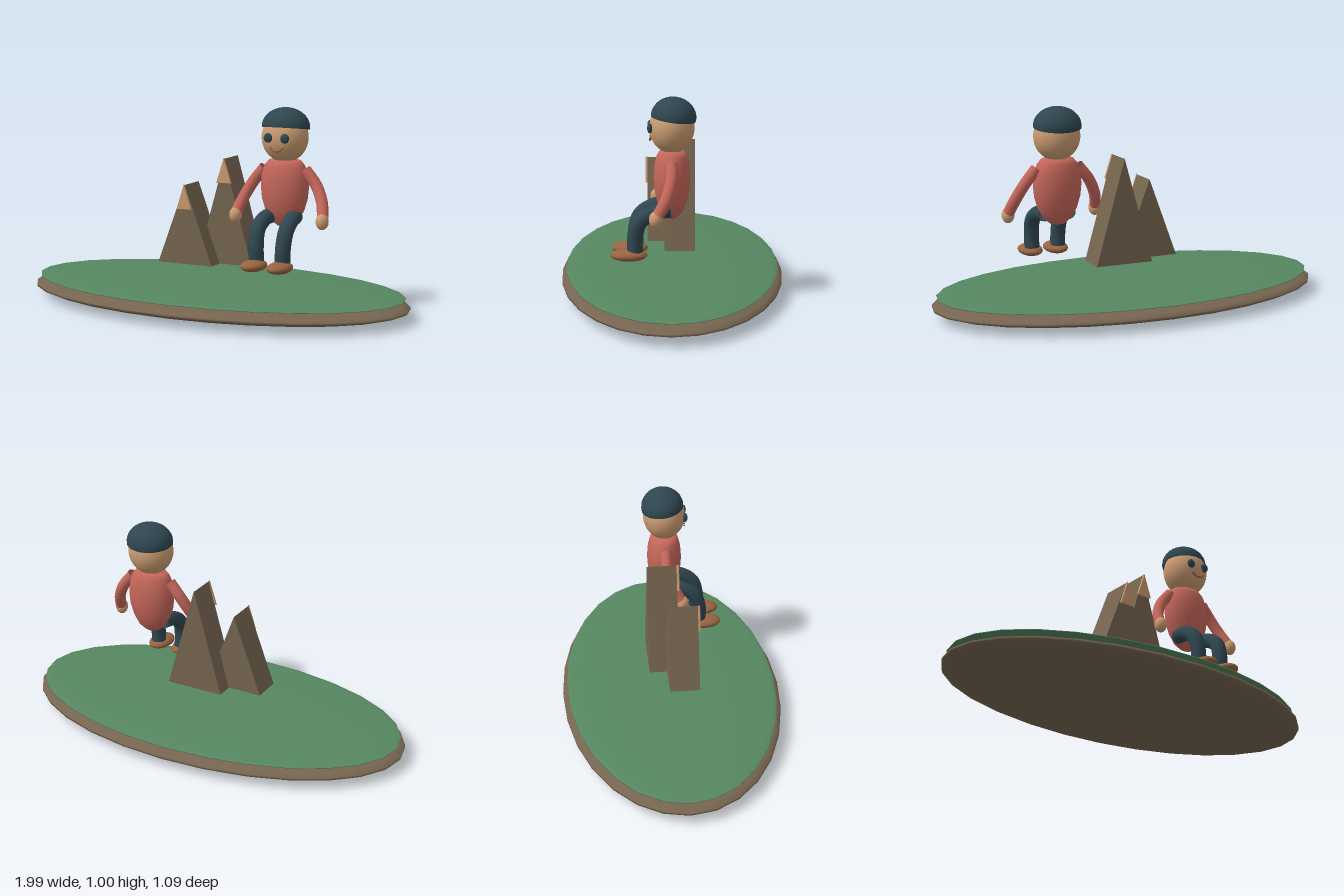
import * as THREE from 'three';

const paint = (name, color) => {
  const m = new THREE.MeshStandardMaterial({ color });
  m.name = name;
  return m;
};

export function createModel() {
  const model = new THREE.Group();
  model.name = 'seatedFigureOnIsland';

  const stone = paint('stone', 0x766550);
  const grass = paint('grass', 0x568761);
  const skin = paint('skin', 0xcb9c72);
  const shirt = paint('shirt', 0xc4665a);
  const navy = paint('darkTeal', 0x2f4650);
  const leather = paint('brownLeather', 0x996340);
  for (const m of [shirt, navy]) m.side = THREE.DoubleSide; // open sleeves, trousers and cap

  const add = (parent, name, geometry, material, pos = [0, 0, 0]) => {
    const mesh = new THREE.Mesh(geometry, material);
    mesh.name = name;
    mesh.position.set(...pos);
    parent.add(mesh);
    return mesh;
  };
  const ellipsoid = (parent, name, material, pos, radii, segs = 28, thetaLength = Math.PI) =>
    add(parent, name,
      new THREE.SphereGeometry(1, segs, Math.round(segs * 0.6), 0, Math.PI * 2, 0, thetaLength).scale(...radii),
      material, pos);
  const tube = (parent, name, material, points, radius) =>
    add(parent, name, new THREE.TubeGeometry(
      new THREE.CatmullRomCurve3(points.map(p => new THREE.Vector3(...p))), 24, radius, 16), material);

  // Island
  ellipsoid(model, 'soil', stone, [0, 0.058, 0], [1, 0.058, 0.545]);
  ellipsoid(model, 'lawn', grass, [0, 0.105, 0], [0.978, 0.018, 0.522]);

  // Mountains: triangular prisms with a thin pale peak on the front
  const triangle = (half, y0, y1) => new THREE.Shape([
    new THREE.Vector2(-half, y0), new THREE.Vector2(half, y0), new THREE.Vector2(0, y1)]);
  const mountain = (name, x, top, back) => {
    const g = new THREE.Group();
    g.name = name;
    g.position.set(x, 0, back);
    add(g, 'slope', new THREE.ExtrudeGeometry(triangle(0.147, 0.218, top), { depth: 0.147, bevelEnabled: false }), stone);
    add(g, 'peak', new THREE.ExtrudeGeometry(triangle(0.038, top - 0.118, top), {
      depth: 0.006, bevelThickness: 0.003, bevelSize: 0.002, bevelSegments: 2 }), skin, [0, 0, 0.149]);
    model.add(g);
  };
  mountain('shortMountain', -0.109, 0.609, -0.025);
  mountain('tallMountain', 0.064, 0.738, -0.111);

  // Seated figure
  const figure = new THREE.Group();
  figure.name = 'figure';
  figure.position.x = 0.369;
  model.add(figure);

  const profile = [[0, 0.42], [0.035, 0.428], [0.07, 0.455], [0.098, 0.505], [0.115, 0.56], [0.121, 0.62],
    [0.115, 0.68], [0.1, 0.722], [0.08, 0.746], [0, 0.754]].map(p => new THREE.Vector2(...p));
  add(figure, 'torso', new THREE.LatheGeometry(profile, 28).scale(1, 1, 0.71), shirt);

  // Head
  ellipsoid(figure, 'head', skin, [0, 0.855, 0], [0.114, 0.12, 0.105]);
  const cap = ellipsoid(figure, 'cap', navy, [0, 0.905, -0.008], [0.117, 0.092, 0.105], 28, Math.PI * 0.53);
  cap.rotation.x = -0.13;
  tube(figure, 'mouth', leather,
    [[-0.034, 0.815, 0.098], [-0.018, 0.801, 0.1], [0, 0.797, 0.101], [0.018, 0.801, 0.1], [0.034, 0.815, 0.098]], 0.005);

  // Paired parts
  for (const [side, s] of [['left', 1], ['right', -1]]) {
    ellipsoid(figure, side + 'Eye', navy, [s * 0.043, 0.859, 0.101], [0.022, 0.023, 0.013], 20);
    tube(figure, side + 'Arm', shirt,
      [[s * 0.106, 0.705, 0], [s * 0.163, 0.635, 0.002], [s * 0.203, 0.56, 0.025], [s * 0.225, 0.49, 0.063]], 0.028);
    ellipsoid(figure, side + 'Hand', skin, [s * 0.226, 0.474, 0.073], [0.031, 0.039, 0.031], 20);
    tube(figure, side + 'Leg', navy,
      [[s * 0.06, 0.478, 0.01], [s * 0.07, 0.468, 0.08], [s * 0.073, 0.423, 0.148],
        [s * 0.07, 0.35, 0.171], [s * 0.068, 0.265, 0.171]], 0.037);
    ellipsoid(figure, side + 'Shoe', leather, [s * 0.067, 0.262, 0.2], [0.058, 0.028, 0.086], 24);
  }
  return model;
}
